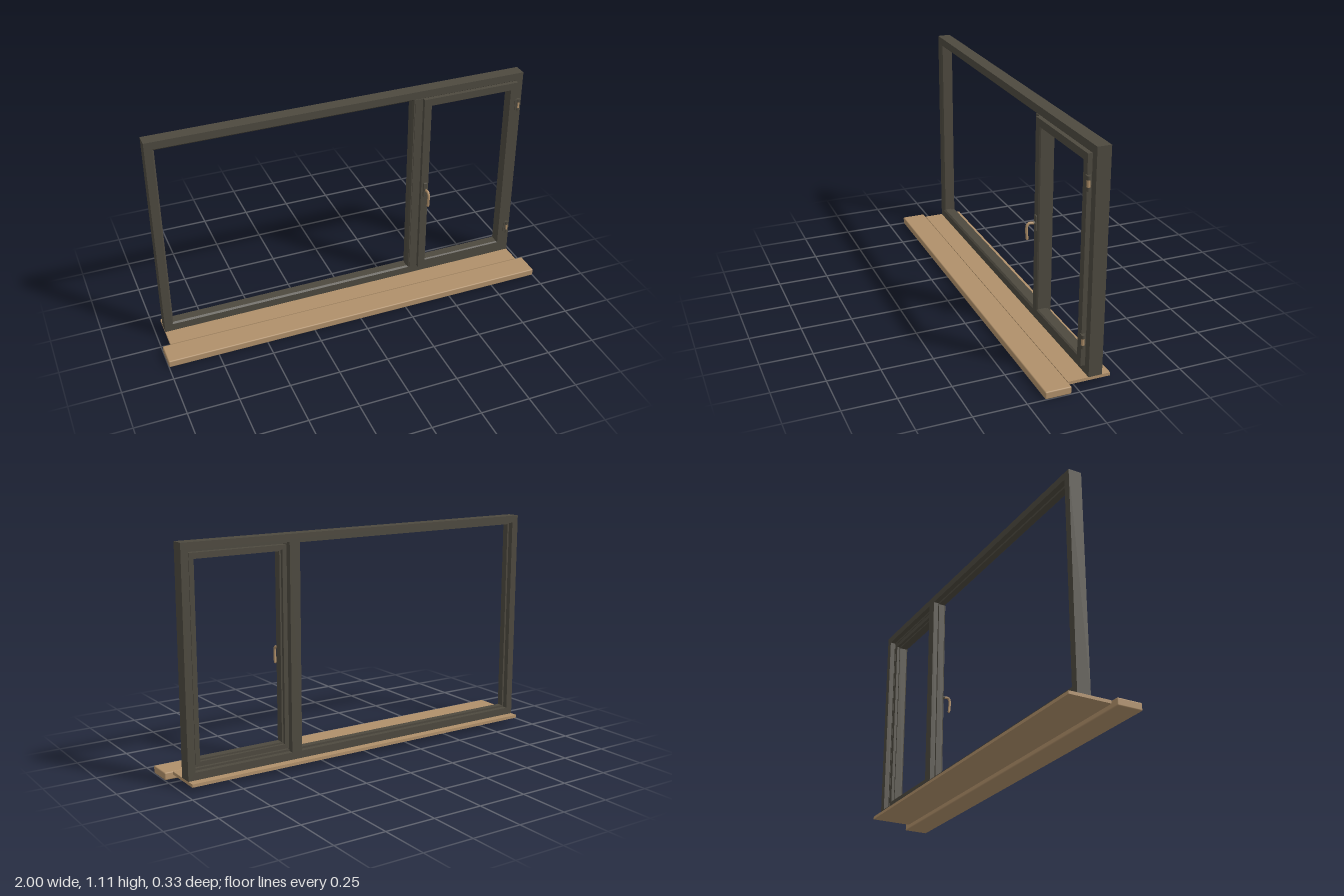
import * as THREE from 'three';
import { RoundedBoxGeometry } from 'three/addons/geometries/RoundedBoxGeometry.js';

const dark = new THREE.MeshStandardMaterial({ color: 0x4d493f });
dark.name = 'dark frame';
const wood = new THREE.MeshStandardMaterial({ color: 0xb0906a });
wood.name = 'warm tan';

function add(parent, name, geometry, material, x = 0, y = 0, z = 0) {
  const mesh = new THREE.Mesh(geometry, material);
  mesh.name = name;
  mesh.position.set(x, y, z);
  parent.add(mesh);
  return mesh;
}

// Sweeps a closed profile of [inset, z] points around a rectangle with mitred corners
function mitredFrame(x0, x1, y0, y1, profile) {
  const corners = [[x0, y0, 1, 1], [x1, y0, -1, 1], [x1, y1, -1, -1], [x0, y1, 1, -1]];
  const at = (c, [inset, z]) => [c[0] + c[2] * inset, c[1] + c[3] * inset, z];
  const points = [];
  for (let i = 0; i < 4; i++) {
    const a = corners[i], b = corners[(i + 1) % 4];
    for (let j = 0; j < profile.length; j++) {
      const p = profile[j], q = profile[(j + 1) % profile.length];
      const ap = at(a, p), bp = at(b, p), aq = at(a, q), bq = at(b, q);
      points.push(...ap, ...bp, ...bq, ...ap, ...bq, ...aq);
    }
  }
  const geometry = new THREE.BufferGeometry();
  geometry.setAttribute('position', new THREE.Float32BufferAttribute(points, 3));
  geometry.computeVertexNormals();
  return geometry;
}

// Upright bar with an [x, z] plan
function upright(plan, y0, y1) {
  const shape = new THREE.Shape(plan.map(([x, z]) => new THREE.Vector2(x, -z)));
  const geometry = new THREE.ExtrudeGeometry(shape, { depth: y1 - y0, bevelEnabled: false });
  return geometry.rotateX(-Math.PI / 2).translate(0, y0, 0);
}

export function createModel() {
  const model = new THREE.Group();
  model.name = 'window';

  // Sill: thin board under the frame, thick rounded nosing in front
  add(model, 'sillBoard', new THREE.BoxGeometry(1.92, 0.015, 0.207), wood, 0, 0.0295, -0.0635);
  add(model, 'sillNosing', new RoundedBoxGeometry(2, 0.037, 0.125, 3, 0.006), wood, 0, 0.0185, 0.1025);

  // Outer frame with an inner glazing lip; profile order runs outer front, outer back, inner back, inner front
  const frameProfile = [
    [0, -0.06], [0, -0.126], [0.036, -0.126], [0.036, -0.1],
    [0.046, -0.1], [0.046, -0.068], [0.038, -0.06],
  ].reverse();
  add(model, 'outerFrame', mitredFrame(-0.96, 0.96, 0.037, 1.112, frameProfile), dark);

  // Mullion between the fixed pane and the casement
  add(model, 'mullion', upright([
    [0.366, -0.126], [0.42, -0.126], [0.42, -0.06], [0.364, -0.06],
    [0.356, -0.068], [0.356, -0.1], [0.366, -0.1],
  ], 0.073, 1.076), dark);
  add(model, 'mullionCover', new THREE.BoxGeometry(0.04, 0.995, 0.004), dark, 0.389, 0.575, -0.058);

  // Casement sash, its front flange standing proud of the frame
  const sashProfile = [
    [0, -0.038], [0, -0.06], [0.012, -0.062], [0.012, -0.1], [0.034, -0.1],
    [0.034, -0.085], [0.042, -0.085], [0.042, -0.045], [0.037, -0.038],
  ].reverse();
  add(model, 'sash', mitredFrame(0.41, 0.922, 0.077, 1.073, sashProfile), dark);

  // Hinges on the left stile
  for (const y of [0.205, 0.946]) {
    const hinge = new THREE.Group();
    hinge.name = 'hinge';
    hinge.position.set(0.929, y, -0.042);
    add(hinge, 'hingeLeaf', new THREE.BoxGeometry(0.02, 0.068, 0.008), dark, -0.007, 0, 0.003);
    add(hinge, 'hingePlate', new THREE.BoxGeometry(0.006, 0.068, 0.02), dark, -0.003, 0, -0.002);
    for (const side of [-1, 1]) {
      add(hinge, 'hingeKnuckle', new THREE.CylinderGeometry(0.009, 0.009, 0.018, 16), dark, 0.002, side * 0.025, 0.002);
    }
    add(hinge, 'hingePin', new THREE.CylinderGeometry(0.008, 0.008, 0.032, 16), wood, 0.003, 0, 0.002);
    model.add(hinge);
  }

  // Handle: backplate, collar and a lever curving downward
  const handle = new THREE.Group();
  handle.name = 'handle';
  handle.position.set(0.43, 0.563, 0);
  add(handle, 'handlePlate', new RoundedBoxGeometry(0.022, 0.078, 0.009, 2, 0.003), dark, 0, 0, -0.0345);
  add(handle, 'handleCollar', new THREE.CylinderGeometry(0.009, 0.009, 0.008, 20).rotateX(Math.PI / 2), dark, 0, 0, -0.027);
  const path = new THREE.CatmullRomCurve3([
    [0, 0, -0.03], [0, 0.002, -0.012], [0, 0.002, 0], [0, -0.007, 0.008], [0, -0.035, 0.01], [0, -0.074, 0.007],
  ].map((p) => new THREE.Vector3(...p)));
  add(handle, 'handleLever', new THREE.TubeGeometry(path, 32, 0.0065, 12), wood);
  add(handle, 'handleTip', new THREE.SphereGeometry(0.0065, 12, 8), wood, 0, -0.074, 0.007);
  model.add(handle);

  return model;
}
